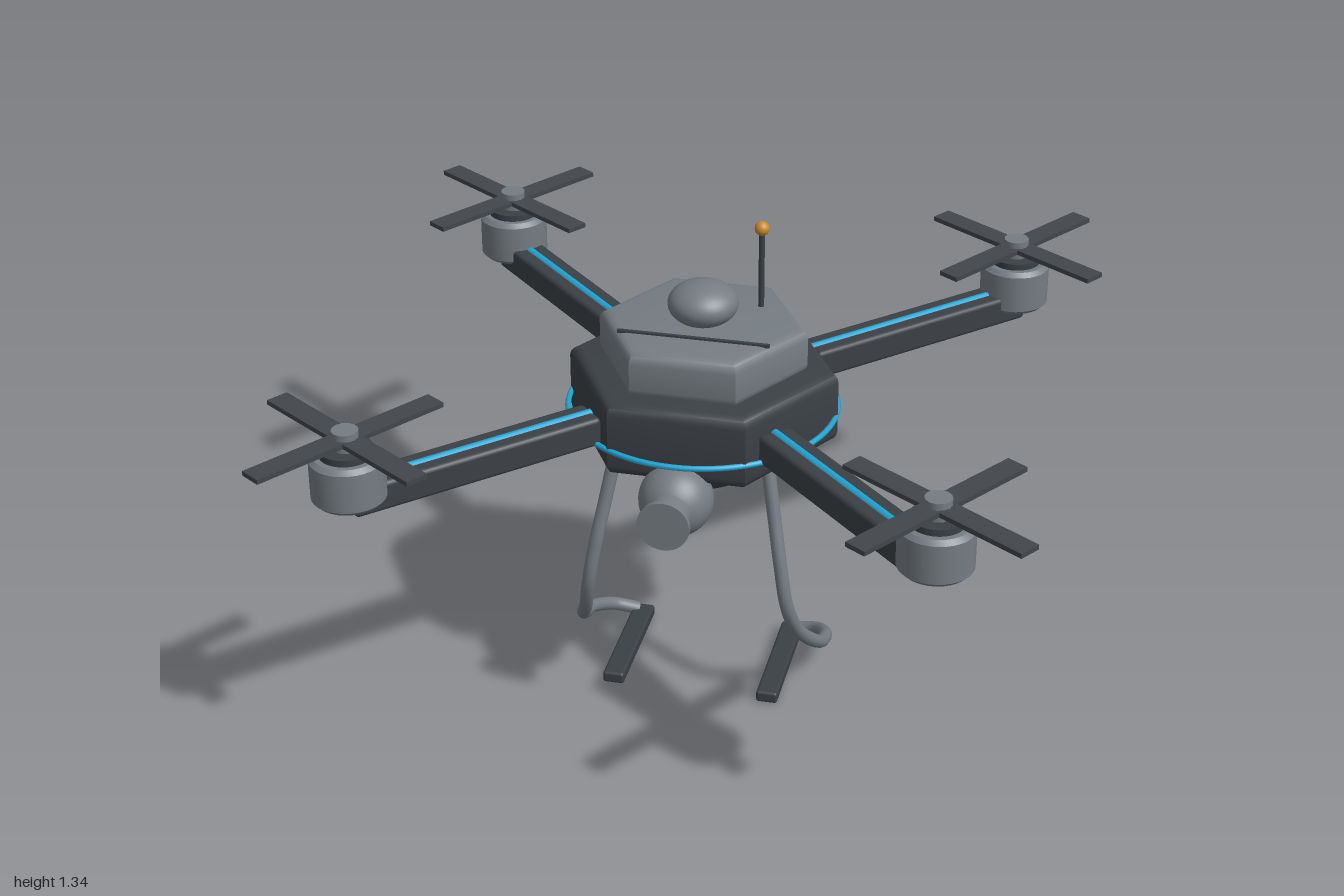
import * as THREE from 'three';
import { toCreasedNormals } from 'three/addons/utils/BufferGeometryUtils.js';
import { RoundedBoxGeometry } from 'three/addons/geometries/RoundedBoxGeometry.js';

const paint = (name, color) => {
  const m = new THREE.MeshStandardMaterial({ color });
  m.name = name;
  return m;
};

export function createModel() {
  const dark = paint('darkShell', 0x3b4045);
  const grey = paint('greyShell', 0x757c82);
  const blade = paint('bladeGrey', 0x42464b);
  const blue = paint('blueTrim', 0x22a3cf);
  const amber = paint('amber', 0xc98a2b);

  const model = new THREE.Group();
  model.name = 'quadcopter';

  const add = (parent, name, geometry, material, x = 0, y = 0, z = 0) => {
    const mesh = new THREE.Mesh(geometry, material);
    mesh.name = name;
    mesh.position.set(x, y, z);
    parent.add(mesh);
    return mesh;
  };

  // Hexagonal slab with rounded edges, points on the x axis, from y0 to y1
  const hexSlab = (radius, y0, y1, bevel) => {
    const r = radius - bevel / Math.cos(Math.PI / 6);
    const points = [];
    for (let i = 0; i < 6; i++) {
      const a = (i * Math.PI) / 3;
      points.push(new THREE.Vector2(r * Math.cos(a), r * Math.sin(a)));
    }
    const geometry = new THREE.ExtrudeGeometry(new THREE.Shape(points), {
      depth: y1 - y0 - 2 * bevel, bevelEnabled: true,
      bevelSize: bevel, bevelThickness: bevel, bevelSegments: 4,
    });
    geometry.rotateX(-Math.PI / 2).translate(0, y0 + bevel, 0);
    return toCreasedNormals(geometry, 0.6);
  };

  const turned = (pairs, segments = 32) => toCreasedNormals(
    new THREE.LatheGeometry(pairs.map(([r, y]) => new THREE.Vector2(r, y)), segments), 0.5);

  // Body
  add(model, 'lowerHull', hexSlab(0.37, 0.76, 0.967, 0.03), dark);
  add(model, 'upperHull', hexSlab(0.285, 0.955, 1.087, 0.03), grey);
  add(model, 'belly', new THREE.SphereGeometry(0.18, 40, 24), dark, 0, 0.72, 0).scale.y = 0.66;
  add(model, 'topDome', new THREE.SphereGeometry(0.095, 32, 20), grey, 0, 1.135, 0).scale.y = 0.63;
  add(model, 'panelSeam', new THREE.BoxGeometry(0.41, 0.009, 0.01), dark, 0, 1.088, 0.12);
  const ring = add(model, 'trimRing', new THREE.TorusGeometry(0.365, 0.008, 8, 72), blue, 0, 0.835, 0);
  ring.rotation.x = Math.PI / 2;

  // Antenna
  add(model, 'antennaRod', new THREE.CylinderGeometry(0.008, 0.008, 0.23, 10), dark, 0.135, 1.195, -0.11);
  add(model, 'antennaTip', new THREE.SphereGeometry(0.02, 16, 12), amber, 0.135, 1.315, -0.11);

  // Camera on the front
  const camera = new THREE.Group();
  camera.name = 'camera';
  camera.position.set(0, 0.715, 0.32);
  model.add(camera);
  add(camera, 'cameraBall', new THREE.SphereGeometry(0.1, 32, 24), grey);
  const lens = turned([[0, 0.05], [0.058, 0.05], [0.058, 0.135], [0.07, 0.135], [0.07, 0.15], [0, 0.15]]);
  add(camera, 'lensBarrel', lens.rotateX(Math.PI / 2), grey);

  // Arms with motors and rotors, one per diagonal
  const armStart = 0.345, armEnd = 1.06, span = 1.054;
  const armGeometry = new RoundedBoxGeometry(armEnd - armStart, 0.082, 0.1, 2, 0.012);
  const stripeGeometry = new THREE.CylinderGeometry(0.014, 0.014, 0.64, 12).rotateZ(Math.PI / 2);
  const motorGeometry = turned([
    [0, 0.862], [0.085, 0.862], [0.097, 0.874], [0.097, 0.98], [0.085, 0.992], [0, 0.992]]);
  const capGeometry = new THREE.CylinderGeometry(0.07, 0.07, 0.02, 32);
  const hubGeometry = new THREE.CylinderGeometry(0.035, 0.035, 0.065, 12);
  const bladeGeometry = new THREE.BoxGeometry(0.576, 0.013, 0.062);
  for (let i = 0; i < 4; i++) {
    const angle = Math.PI / 4 + (i * Math.PI) / 2;
    const arm = new THREE.Group();
    arm.name = 'arm';
    arm.rotation.y = angle;
    model.add(arm);
    add(arm, 'armBeam', armGeometry, dark, (armStart + armEnd) / 2, 0.868, 0);
    add(arm, 'armStripe', stripeGeometry, blue, 0.67, 0.901, 0);

    const rotor = new THREE.Group();
    rotor.name = 'rotor';
    rotor.position.set(span * Math.cos(angle), 0, -span * Math.sin(angle));
    model.add(rotor);
    add(rotor, 'motor', motorGeometry, grey);
    add(rotor, 'motorCap', capGeometry, dark, 0, 1, 0);
    add(rotor, 'rotorHub', hubGeometry, grey, 0, 1.028, 0);
    for (const turn of [0, Math.PI / 2]) {
      add(rotor, 'blades', bladeGeometry, blade, 0, 1.036, 0).rotation.y = turn - 0.59;
    }
  }

  // Landing legs: curved struts sweeping back to flat skids
  for (const side of [1, -1]) {
    const path = new THREE.CatmullRomCurve3([
      [0.21, 0.73, 0.138], [0.235, 0.59, 0.167], [0.258, 0.465, 0.195], [0.278, 0.345, 0.2],
      [0.3, 0.24, 0.15], [0.34, 0.13, 0.03], [0.34, 0.09, -0.07],
      [0.3, 0.05, -0.155], [0.235, 0.028, -0.18],
    ].map(([x, y, z]) => new THREE.Vector3(side * x, y, z)));
    add(model, 'legStrut', new THREE.TubeGeometry(path, 64, 0.019, 12), grey);
    add(model, 'legTop', new THREE.SphereGeometry(0.019, 12, 8), grey, side * 0.21, 0.73, 0.138);
    add(model, 'skid', new RoundedBoxGeometry(0.06, 0.034, 0.375, 2, 0.008), dark, side * 0.22, 0.017, -0.012);
  }

  return model;
}
